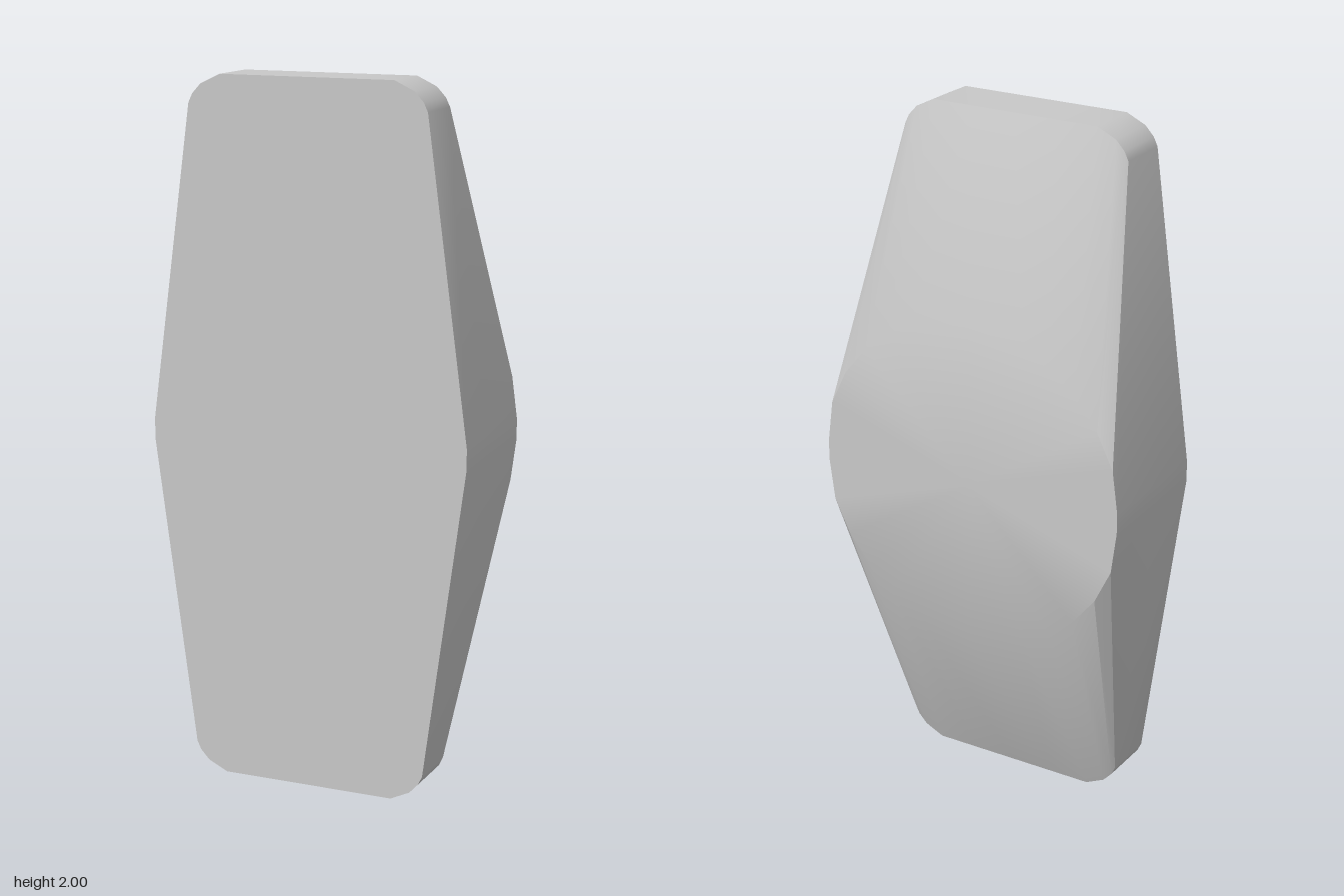
import * as THREE from 'three';
import { toCreasedNormals } from 'three/addons/utils/BufferGeometryUtils.js';

// One quarter, from the side tip to the top: rim x, y and back face x, y
const QUARTER = [
  [0.47, 0.03, 0.47, 0.03],
  [0.35, 0.92, 0.454, 0.15],
  [0.338, 0.945, 0.405, 0.25],
  [0.312, 0.973, 0.335, 0.335],
  [0.255, 1, 0.26, 0.395],
  [0.13, 1, 0.18, 0.437],
  [0, 1, 0, 0.47],
];

export function createModel() {
  // Mirror the quarter into a full loop, counterclockwise from the front
  const mirrored = QUARTER.slice(0, -1).reverse().map(([a, b, c, d]) => [-a, b, -c, d]);
  const half = [...QUARTER, ...mirrored];
  const loop = [...half, ...half.map((p) => p.map((v) => -v))];

  // Front outline, rim and rounded back face
  const rings = [
    loop.map((p) => [p[0], p[1] + 1, 0.2]),
    loop.map((p) => [p[0], p[1] + 1, 0.04]),
    loop.map((p) => [p[2], p[3] + 1, -0.2]),
  ];
  const positions = [];
  const tri = (...corners) => corners.forEach((c) => positions.push(...c));
  const n = loop.length;
  for (let i = 0; i < n; i++) {
    const j = (i + 1) % n;
    // Side wall and sloped back
    for (let r = 0; r < 2; r++) {
      const a = rings[r], b = rings[r + 1];
      tri(a[i], b[i], b[j]);
      tri(a[i], b[j], a[j]);
    }
    // Flat front and flat back
    tri([0, 1, 0.2], rings[0][i], rings[0][j]);
    tri([0, 1, -0.2], rings[2][j], rings[2][i]);
  }
  const geometry = new THREE.BufferGeometry();
  geometry.setAttribute('position', new THREE.Float32BufferAttribute(positions, 3));

  const grey = new THREE.MeshStandardMaterial({ color: 0xc8c8c8 });
  grey.name = 'light grey';
  const body = new THREE.Mesh(toCreasedNormals(geometry, 0.65), grey);
  body.name = 'taperedPlate';

  const group = new THREE.Group();
  group.name = 'plate';
  group.add(body);
  return group;
}
